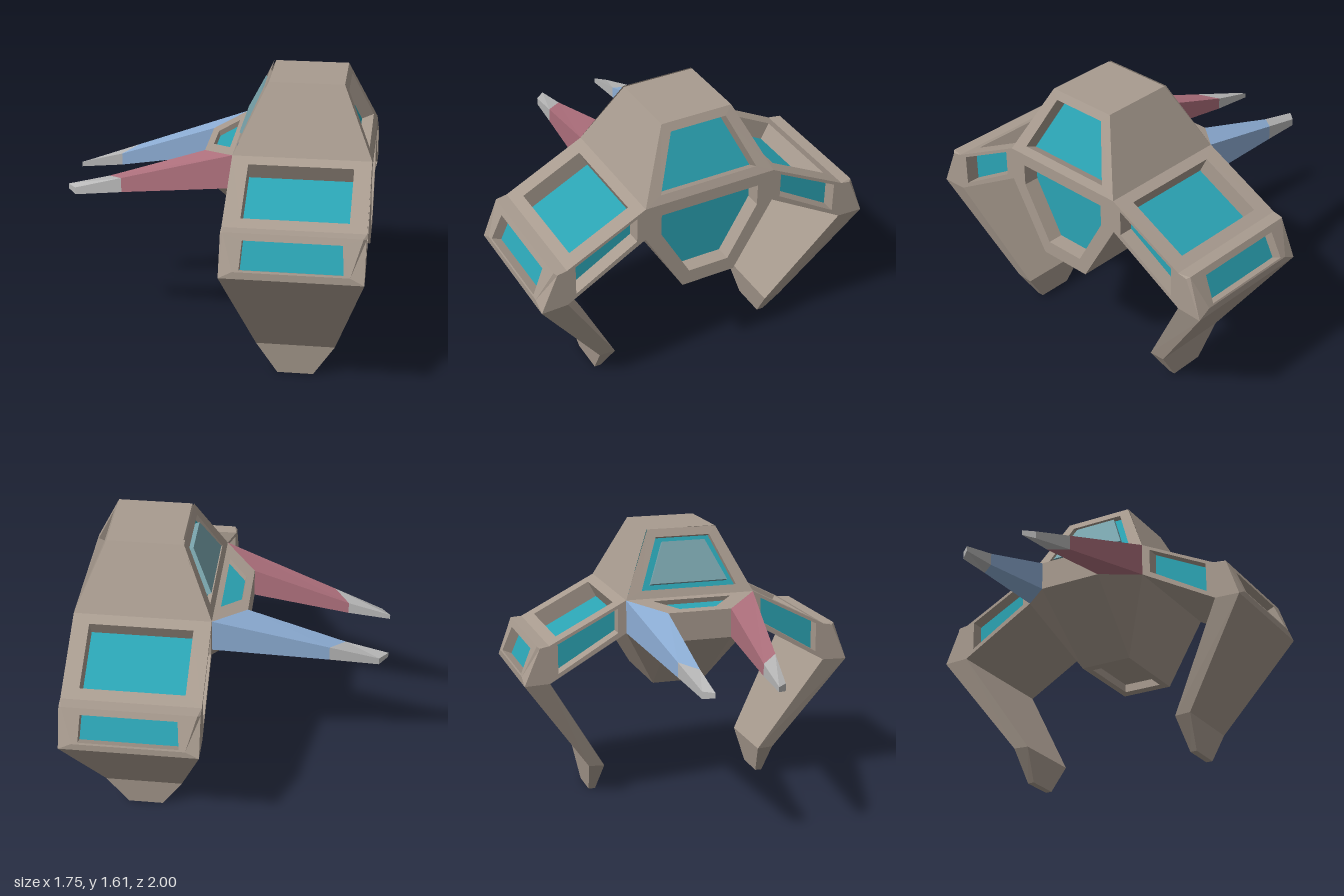
import * as THREE from 'three';

const mat = (color) => new THREE.MeshStandardMaterial({ color, flatShading: true, side: THREE.DoubleSide });
const V = (p) => new THREE.Vector3(...p);
const centre = (pts) => pts.reduce((c, p) => c.add(V(p)), new THREE.Vector3()).divideScalar(pts.length);

// Normal of a flat polygon, turned away from an inner reference point
function outward(pts, ref) {
  const n = V(pts[1]).sub(V(pts[0])).cross(V(pts[2]).sub(V(pts[0]))).normalize();
  return n.dot(centre(pts).sub(ref)) < 0 ? n.negate() : n;
}

// Adds a convex polygon to a triangle list, wound to face away from ref
function face(out, pts, ref) {
  const n = V(pts[1]).sub(V(pts[0])).cross(V(pts[2]).sub(V(pts[0])));
  const p = n.dot(outward(pts, ref)) < 0 ? [...pts].reverse() : pts;
  for (let i = 1; i < p.length - 1; i++) out.push(...p[0], ...p[i], ...p[i + 1]);
}

function mesh(out, material, name) {
  const g = new THREE.BufferGeometry();
  g.setAttribute('position', new THREE.Float32BufferAttribute(out, 3));
  g.computeVertexNormals();
  const m = new THREE.Mesh(g, material);
  m.name = name;
  return m;
}

// Face with a sunken window: frame ring, recess walls and a pane
function panel(frame, pane, outer, hole, depth, ref) {
  const n = outward(outer, ref).multiplyScalar(-depth);
  const back = hole.map((p) => V(p).add(n).toArray());
  const mid = centre(hole).add(centre(back)).multiplyScalar(0.5);
  hole.forEach((h, i) => {
    const j = (i + 1) % hole.length;
    face(frame, [outer[i], outer[j], hole[j], hole[i]], ref);
    const wall = [h, hole[j], back[j], back[i]];
    face(frame, wall, centre(wall).multiplyScalar(2).sub(mid));
  });
  face(pane, back, ref);
}

// Closed solid running through matching loops
function loft(out, loops) {
  for (let k = 0; k < loops.length - 1; k++) {
    const [a, b] = [loops[k], loops[k + 1]];
    const ref = centre([...a, ...b]);
    a.forEach((p, i) => {
      const j = (i + 1) % a.length;
      face(out, [p, a[j], b[j], b[i]], ref);
    });
    if (k === 0) face(out, a, ref);
    if (k === loops.length - 2) face(out, b, ref);
  }
}

const L = 0.1, R = 0.87;
const mirrorX = (x, side) => (side > 0 ? x : L + R - x);

export function createModel() {
  const model = new THREE.Group();
  const hull = mat(0xa89b8f), teal = mat(0x2ba3b3), paleGlass = mat(0x78a3ab), grey = mat(0xb8b8b8);
  const red = mat(0xb0717e), blue = mat(0x8fb0d8);

  // Cabin and lower body
  const frame = [], glass = [], ref = new THREE.Vector3(0.49, 1.1, 0);
  const ring = (pts) => [...pts, ...pts.map(([x, y, z]) => [x, y, -z]).reverse()];
  face(frame, ring([[0.28, 1.61, 0.21], [0.7, 1.61, 0.21]]), ref);
  for (const side of [1, -1]) {
    const x = (v) => mirrorX(v, side);
    panel(frame, glass, ring([[x(0.7), 1.61, 0.21], [x(R), 1.235, 0.39]]),
      ring([[x(0.722), 1.565, 0.165], [x(0.85), 1.28, 0.29]]), side > 0 ? 0.075 : 0.03, ref);
  }
  panel(frame, glass, ring([[R, 1.235, 0.39], [R, 1.04, 0.39], [R, 0.65, 0.16]]),
    ring([[R, 1.165, 0.295], [R, 1.04, 0.295], [R, 0.735, 0.12]]), 0.09, ref);
  // Nose with its window, and the slope beneath it
  panel(frame, glass, ring([[L, 1.235, 0.39], [-0.08, 1.185, 0.19]]),
    ring([[0.068, 1.226, 0.235], [-0.04, 1.196, 0.11]]), 0.03, ref);
  face(frame, ring([[-0.08, 1.185, 0.19], [-0.08, 1.015, 0.19]]), ref);
  face(frame, ring([[-0.08, 1.015, 0.19], [0.345, 0.65, 0.16]]), ref);
  // Floor with a shallow hatch recess
  panel(frame, frame, ring([[0.345, 0.65, 0.16], [R, 0.65, 0.16]]),
    ring([[0.4, 0.65, 0.12], [0.81, 0.65, 0.12]]), 0.05, ref);
  for (const s of [1, -1]) {
    face(frame, [[L, 1.235, s * 0.39], [R, 1.235, s * 0.39], [0.7, 1.61, s * 0.21], [0.28, 1.61, s * 0.21]], ref);
    face(frame, [[L, 1.04, s * 0.39], [R, 1.04, s * 0.39], [R, 0.65, s * 0.16], [0.345, 0.65, s * 0.16]], ref);
    face(frame, [[L, 1.04, s * 0.39], [-0.08, 1.015, s * 0.19], [0.345, 0.65, s * 0.16]], ref);
  }
  model.add(mesh(frame, hull, 'cabin'), mesh(glass, teal, 'cabinWindows'));

  // Raised pane over the cabin's sloping window
  const pane = [], rim = ring([[0.12, 1.315, 0.235], [0.23, 1.54, 0.13]]);
  loft(pane, [rim, rim.map(([x, y, z]) => [x + 0.028, y - 0.013, z])]);
  model.add(mesh(pane, paleGlass, 'raisedPane'));

  for (const s of [1, -1]) {
    const arm = [], armGlass = [], leg = [];
    const inside = new THREE.Vector3(0.49, 0.95, s * 0.65);
    // Four corners spanning the width between two [y, z, half width] lines
    const span = (...lines) => {
      const [a, b] = lines.map(([y, z, w]) => [[0.485 - w, y, s * z], [0.485 + w, y, s * z]]);
      return [a[0], a[1], b[1], b[0]];
    };
    const W = 0.385;

    // Arm roof, shoulder strip, underside and end window
    panel(arm, armGlass, span([1.235, 0.39, W], [1, 0.85, W]), span([1.207, 0.445, 0.29], [1.03, 0.79, 0.29]), 0.105, inside);
    face(arm, span([1, 0.85, W], [1, 0.92, 0.37]), inside);
    face(arm, span([1.04, 0.39, W], [0.775, 0.85, W]), inside);
    panel(arm, armGlass, span([1, 0.92, 0.37], [0.81, 1, 0.31]), span([0.965, 0.935, 0.265], [0.82, 0.996, 0.275]), 0.06, inside);
    face(arm, span([0.81, 1, 0.31], [0.77, 1, W]), inside);

    // Arm flanks with side windows, and the bevels by the end window
    for (const side of [1, -1]) {
      const x = (v) => mirrorX(v, side);
      const flank = (pts) => pts.map(([z, y]) => [x(R), y, s * z]);
      panel(arm, armGlass, flank([[0.39, 1.235], [0.39, 1.04], [0.85, 0.775], [0.85, 1]]),
        flank([[0.44, 1.19], [0.44, 1.045], [0.8, 0.83], [0.8, 1.005]]), 0.08, inside);
      face(arm, flank([[0.85, 1], [0.85, 0.775], [1, 0.77], [0.905, 0.99]]), inside);
      const top = [x(0.855), 1, s * 0.92], edge = [x(R), 0.99, s * 0.905];
      face(arm, [top, edge, [x(R), 0.77, s], [x(0.795), 0.81, s]], inside);
      face(arm, [top, edge, [x(R), 1, s * 0.85]], inside);
    }

    // Tapering leg with a cranked foot
    loft(leg, [
      span([0.77, 1, W], [0.775, 0.85, W]),
      span([0.19, 0.59, 0.222], [0.185, 0.495, 0.222]),
      span([0, 0.565, 0.102], [0, 0.525, 0.102]),
    ]);

    // Prong: coloured shaft and grey tip
    const shaft = [], tip = [];
    const slice = (xo, zo, to, bo, xi, zi, ti, bi) =>
      [[xo, to, s * zo], [xo, bo, s * zo], [xi, bi, s * zi], [xi, ti, s * zi]];
    const middle = slice(-0.55, 0.284, 1.027, 0.941, -0.635, 0.184, 1.0, 0.93);
    loft(shaft, [slice(L, 0.39, 1.235, 1.04, -0.08, 0.19, 1.185, 1.015), middle]);
    loft(tip, [middle, slice(-0.83, 0.238, 0.937, 0.895, -0.88, 0.18, 0.937, 0.908)]);

    const name = s > 0 ? 'front' : 'back';
    model.add(
      mesh(arm, hull, name + 'Arm'), mesh(armGlass, teal, name + 'ArmWindows'), mesh(leg, hull, name + 'Leg'),
      mesh(shaft, s > 0 ? red : blue, name + 'Prong'), mesh(tip, grey, name + 'ProngTip'),
    );
  }
  return model;
}
